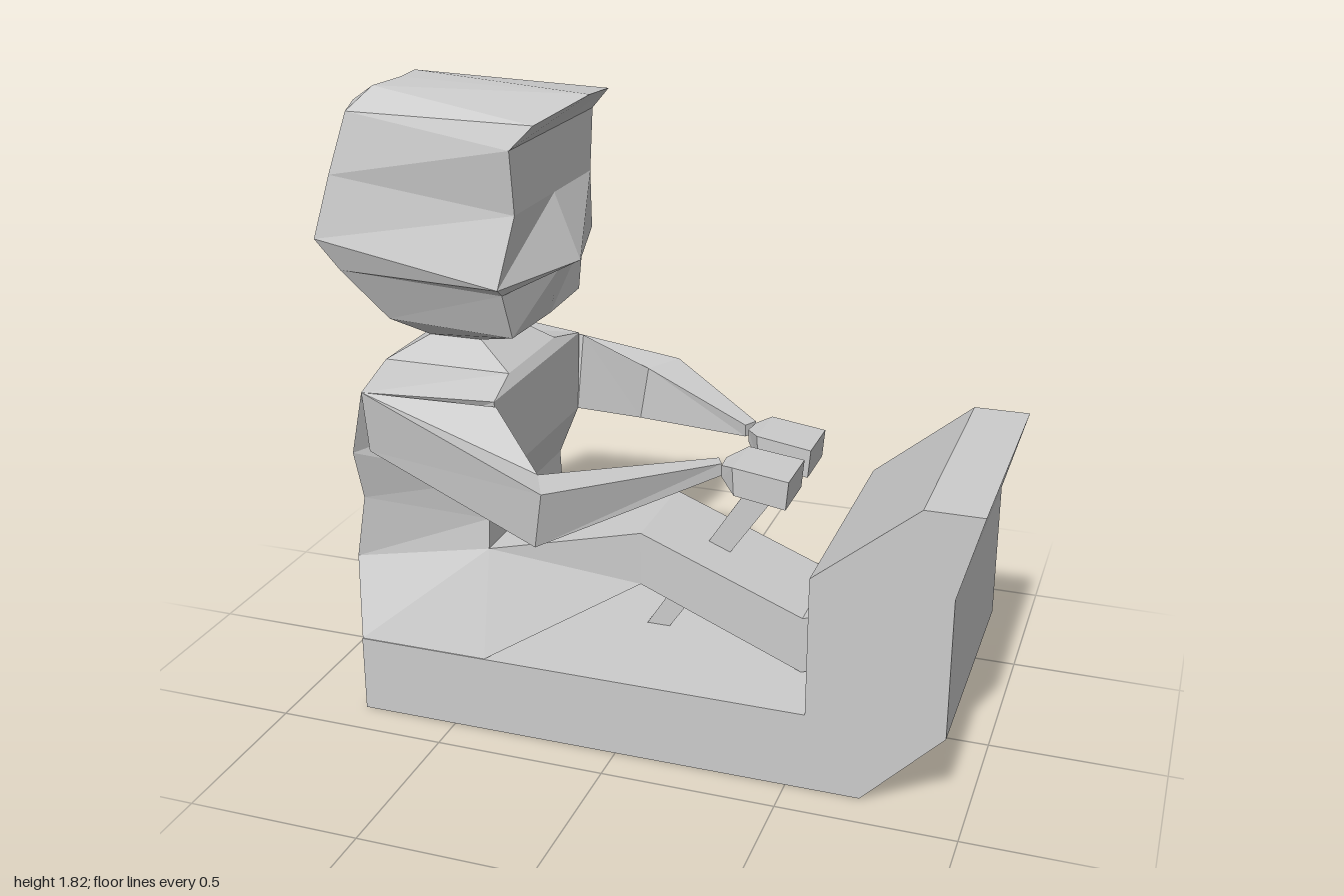
import * as THREE from 'three';

const material = new THREE.MeshStandardMaterial({ color: 0xcccccc, flatShading: true });

// Closed faceted solid through a row of rings with equal point counts
function loft(name, rings) {
  const tris = [];
  const n = rings[0].length;
  for (let i = 0; i < rings.length - 1; i++) {
    for (let j = 0; j < n; j++) {
      const k = (j + 1) % n;
      const [a, b, c, d] = [rings[i][j], rings[i][k], rings[i + 1][k], rings[i + 1][j]];
      tris.push([a, b, c], [a, c, d]);
    }
  }
  const first = rings[0], last = rings[rings.length - 1];
  for (let j = 1; j < n - 1; j++) {
    tris.push([first[0], first[j + 1], first[j]], [last[0], last[j], last[j + 1]]);
  }
  // Turn the faces outward whichever way the rings run
  const v = (p) => new THREE.Vector3(...p);
  const volume = tris.reduce((s, [a, b, c]) => s + v(a).dot(v(b).cross(v(c))), 0);
  if (volume < 0) tris.forEach((t) => t.reverse());
  const geometry = new THREE.BufferGeometry();
  geometry.setAttribute('position', new THREE.Float32BufferAttribute(tris.flat(2), 3));
  geometry.computeVertexNormals();
  const mesh = new THREE.Mesh(geometry, material);
  mesh.name = name;
  return mesh;
}

const flip = ([x, y, z]) => [x, y, -z];

// Completes a half ring by mirroring it across z = 0
const whole = (half) => [...half, ...half.filter((p) => p[2] > 0).reverse().map(flip)];

// Side profile extruded across z
function slab(name, profile, halfWidth) {
  const shape = new THREE.Shape(profile.map(([x, y]) => new THREE.Vector2(x, y)));
  const geometry = new THREE.ExtrudeGeometry(shape, { depth: halfWidth * 2, bevelEnabled: false });
  geometry.translate(0, 0, -halfWidth);
  const mesh = new THREE.Mesh(geometry, material);
  mesh.name = name;
  return mesh;
}

export function createModel() {
  const model = new THREE.Group();
  model.name = 'seatedDriver';

  // Floor with raised front panel
  model.add(slab('cockpitBase', [
    [-0.79, 0], [0.71, 0], [0.935, 0.23], [0.935, 0.64], [1, 0.88],
    [0.84, 0.88], [0.55, 0.64], [0.55, 0.23], [-0.79, 0.23],
  ], 0.388));

  // Slanted control lever between the hands
  model.add(slab('lever', [[-0.03, 0.23], [0.04, 0.23], [0.39, 0.745], [0.32, 0.78]], 0.02));

  // Head: front centre, front corner, back corner, back centre per ring
  model.add(loft('head', [
    [[-0.2, 1.8, 0], [-0.25, 1.765, 0.28], [-0.79, 1.812, 0.13], [-0.77, 1.815, 0]],
    [[-0.31, 1.7, 0], [-0.31, 1.7, 0.305], [-0.83, 1.755, 0.22], [-0.925, 1.74, 0]],
    [[-0.31, 1.52, 0], [-0.31, 1.52, 0.28], [-0.88, 1.58, 0.245], [-1, 1.555, 0]],
    [[-0.235, 1.33, 0], [-0.335, 1.33, 0.352], [-0.925, 1.4, 0.27], [-0.96, 1.335, 0]],
    [[-0.3, 1.3, 0], [-0.345, 1.3, 0.3], [-0.86, 1.31, 0.25], [-0.87, 1.23, 0]],
    [[-0.33, 1.165, 0], [-0.34, 1.165, 0.25], [-0.74, 1.165, 0.2], [-0.76, 1.16, 0]],
    [[-0.5, 1.1, 0], [-0.5, 1.1, 0.11], [-0.66, 1.1, 0.11], [-0.66, 1.1, 0]],
  ].map(whole)));

  // Neck, shoulders, waist and hips: front and back corner per ring
  model.add(loft('torso', [
    [[-0.5, 1.1, 0.11], [-0.66, 1.1, 0.11]],
    [[-0.39, 1.03, 0.17], [-0.775, 1.03, 0.17]],
    [[-0.37, 1.0, 0.32], [-0.735, 1.012, 0.4]],
    [[-0.37, 0.76, 0.3], [-0.83, 0.78, 0.3]],
    [[-0.42, 0.62, 0.27], [-0.83, 0.62, 0.25]],
    [[-0.42, 0.53, 0.28], [-0.88, 0.41, 0.22]],
    [[-0.4, 0.23, 0.385], [-0.79, 0.23, 0.385]],
  ].map(whole)));

  // Joined legs: top and bottom edge per section
  model.add(loft('legs', [
    [[-0.42, 0.53, 0.28], [-0.4, 0.23, 0.385]],
    [[0, 0.59, 0.163], [0, 0.43, 0.163]],
    [[0.48, 0.4, 0.163], [0.48, 0.23, 0.163]],
    [[0.55, 0.42, 0.163], [0.55, 0.25, 0.163]],
  ].map(whole)));

  // Arms: outer top, inner top, inner bottom, outer bottom per section
  const arm = [
    [[-0.735, 1.012, 0.4], [-0.36, 0.99, 0.33], [-0.37, 0.76, 0.3], [-0.73, 0.83, 0.38]],
    [[-0.13, 0.86, 0.572], [-0.19, 0.86, 0.45], [-0.21, 0.7, 0.43], [-0.16, 0.695, 0.55]],
    [[0.24, 0.84, 0.17], [0.22, 0.84, 0.13], [0.22, 0.805, 0.13], [0.24, 0.805, 0.17]],
  ];
  // Hands: tapered wrist into a slightly tilted block
  const hand = [
    [[0.24, 0.835, 0.17], [0.235, 0.835, 0.11], [0.235, 0.8, 0.11], [0.24, 0.8, 0.17]],
    [[0.28, 0.847, 0.205], [0.28, 0.847, 0.04], [0.285, 0.765, 0.04], [0.285, 0.765, 0.205]],
    [[0.44, 0.825, 0.205], [0.44, 0.825, 0.035], [0.433, 0.742, 0.035], [0.433, 0.742, 0.205]],
  ];
  const mirrored = (rings) => rings.map((ring) => ring.map(flip));
  model.add(loft('armFront', arm), loft('armBack', mirrored(arm)));
  model.add(loft('handFront', hand), loft('handBack', mirrored(hand)));

  return model;
}
